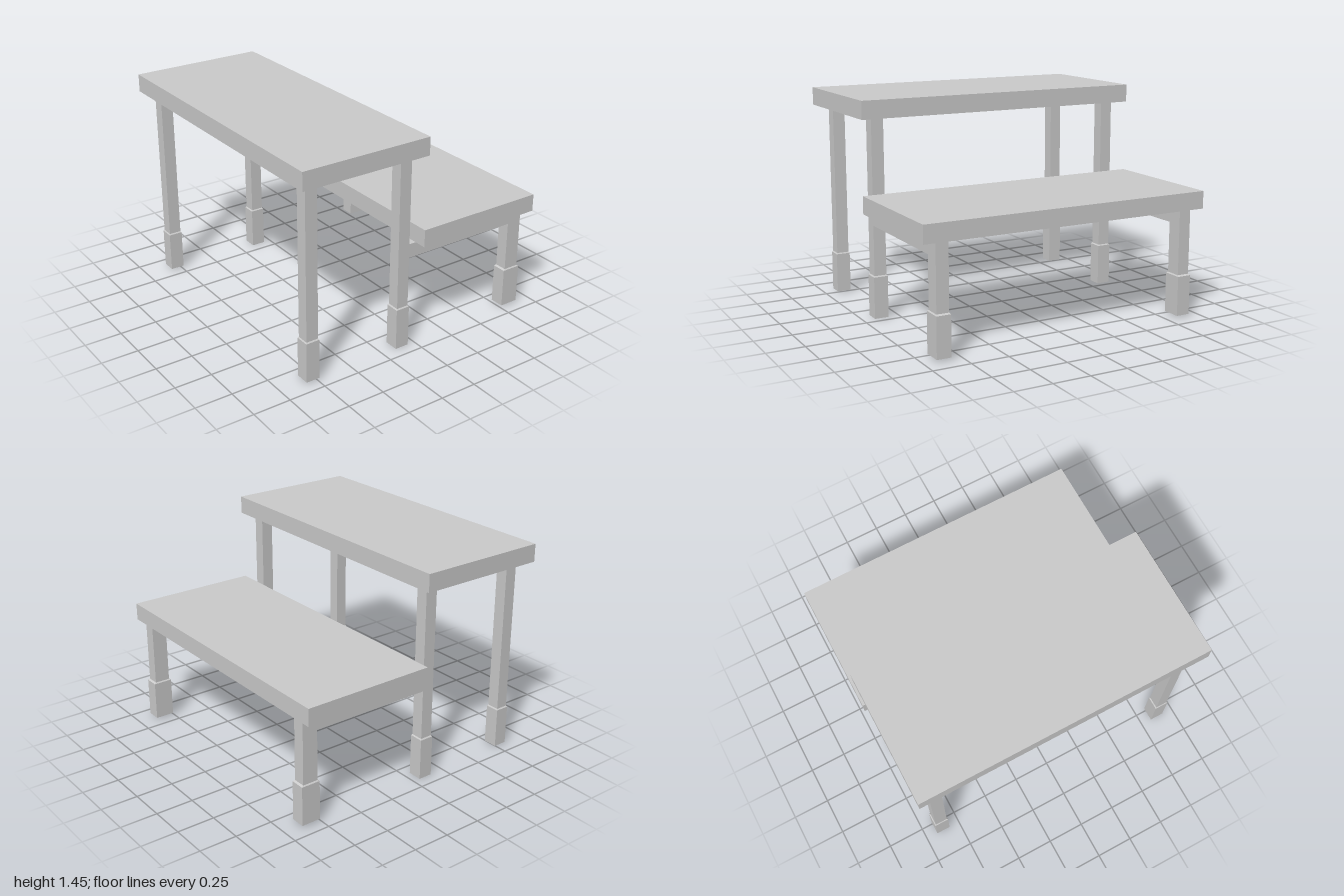
import * as THREE from 'three';

const material = new THREE.MeshStandardMaterial({ color: 0xcccccc, flatShading: true });

// Box given by its extents on each axis
function block(name, [x0, x1], [y0, y1], [z0, z1]) {
  const geometry = new THREE.BoxGeometry(x1 - x0, y1 - y0, z1 - z0);
  geometry.translate((x0 + x1) / 2, (y0 + y1) / 2, (z0 + z1) / 2);
  const mesh = new THREE.Mesh(geometry, material);
  mesh.name = name;
  return mesh;
}

// Square leg with a thicker foot sleeve whose top edge slopes in to the leg
function leg(name, x, z, width, footWidth, bottom, top) {
  const depth = 0.083, footDepth = 0.096, sleeveTop = 0.28, slopeTop = 0.288;
  const group = new THREE.Group();
  group.name = name;
  const span = (c, w) => [c - w / 2, c + w / 2];
  group.add(block('post', span(x, width), [sleeveTop, top], span(z, depth)));
  group.add(block('foot', span(x, footWidth), [bottom, sleeveTop], span(z, footDepth)));

  const collar = block('footCollar', span(x, footWidth), [sleeveTop, slopeTop], span(z, footDepth));
  const p = collar.geometry.attributes.position;
  for (let i = 0; i < p.count; i++) {
    if (p.getY(i) < (sleeveTop + slopeTop) / 2) continue;
    p.setX(i, x + Math.sign(p.getX(i) - x) * width / 2);
    p.setZ(i, z + Math.sign(p.getZ(i) - z) * depth / 2);
  }
  collar.geometry.computeVertexNormals();
  group.add(collar);
  return group;
}

export function createModel() {
  const model = new THREE.Group();
  model.name = 'steppedTable';

  // Table top and lower bench seat
  model.add(block('tableTop', [-0.895, 0.005], [1.325, 1.445], [-1, 1]));
  model.add(block('benchSeat', [-0.01, 0.895], [0.72, 0.837], [-1, 1]));

  // Legs and bench rails, mirrored front to back
  for (const [label, side] of [['front', 1], ['back', -1]]) {
    const z = side * 0.872;
    model.add(leg(label + 'OuterTableLeg', -0.781, z, 0.083, 0.094, 0.01, 1.325));
    model.add(leg(label + 'InnerTableLeg', -0.099, z, 0.083, 0.096, 0, 1.325));
    model.add(leg(label + 'BenchLeg', 0.822, z, 0.105, 0.13, 0.015, 0.72));
    model.add(block(label + 'BenchRail', [-0.0575, 0.7695], [0.625, 0.72], [z - 0.0415, z + 0.0415]));
  }
  return model;
}
